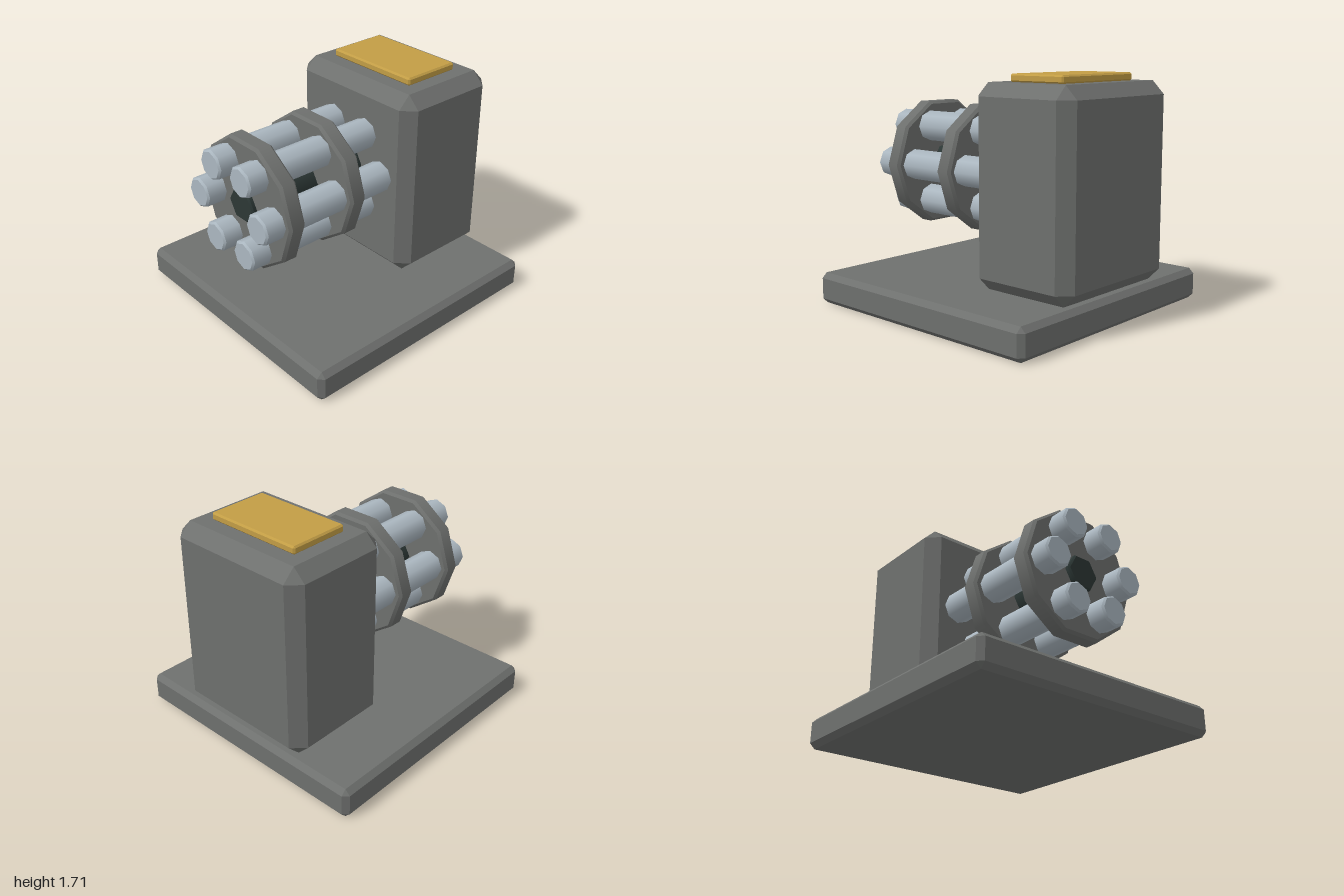
import * as THREE from 'three';
import { mergeGeometries } from 'three/addons/utils/BufferGeometryUtils.js';
import { ConvexGeometry } from 'three/addons/geometries/ConvexGeometry.js';

const paint = (name, color) => {
  const m = new THREE.MeshStandardMaterial({ color });
  m.name = name;
  return m;
};

// Box with chamfered edges and cut corners, given by its min and max corners
function chamferBox(min, max, bevel) {
  const half = max.map((v, i) => (v - min[i]) / 2);
  const points = [];
  for (const sx of [-1, 1]) for (const sy of [-1, 1]) for (const sz of [-1, 1])
    for (let axis = 0; axis < 3; axis++) {
      const p = [sx, sy, sz].map((s, i) => s * (half[i] - (i === axis ? 0 : bevel)));
      points.push(new THREE.Vector3(...p));
    }
  return new ConvexGeometry(points)
    .translate(...min.map((v, i) => (v + max[i]) / 2));
}

// Few-sided smooth rod along z with chamfered rims
function rod(radius, z0, z1, sides, bevel) {
  const band = (rTop, rBottom, height, y) =>
    new THREE.CylinderGeometry(rTop, rBottom, height, sides, 1, true, Math.PI / 2).translate(0, y, 0);
  const small = radius - bevel;
  const cap = (y, turn) => new THREE.CircleGeometry(small, sides).rotateX(turn).translate(0, y, 0);
  return mergeGeometries([
    band(radius, radius, z1 - z0 - 2 * bevel, (z0 + z1) / 2),
    band(small, radius, bevel, z1 - bevel / 2),
    band(radius, small, bevel, z0 + bevel / 2),
    cap(z1, -Math.PI / 2),
    cap(z0, Math.PI / 2),
  ]).rotateX(Math.PI / 2);
}

export function createModel() {
  const model = new THREE.Group();
  model.name = 'rotaryTurret';

  const grey = paint('gunmetal grey', 0x6e706e);
  const steel = paint('pale steel', 0xabb7c0);
  const gold = paint('gold', 0xc29d45);
  const dark = paint('dark green grey', 0x2c3735);

  const add = (name, geometry, material, x = 0, y = 0) => {
    const mesh = new THREE.Mesh(geometry, material);
    mesh.name = name;
    mesh.position.set(x, y, 0);
    model.add(mesh);
  };

  // Base slab, housing and top plate
  add('base', chamferBox([-1, 0, -1], [1, 0.23, 1], 0.038), grey);
  add('housing', chamferBox([-0.577, 0.23, -1], [0.577, 1.655, -0.155], 0.092), grey);
  add('topPlate', chamferBox([-0.385, 1.653, -0.805], [0.385, 1.711, -0.348], 0.012), gold);

  // Barrel cluster: spindle, two clamping discs, six barrels
  const axisY = 1.003;
  add('spindle', rod(0.134, -0.155, 0.845, 6, 0.012), dark, 0, axisY);
  add('rearDisc', rod(0.49, 0.137, 0.273, 10, 0.02), grey, 0, axisY);
  add('frontDisc', rod(0.49, 0.675, 0.809, 10, 0.02), grey, 0, axisY);
  const barrel = rod(0.114, -0.158, 0.963, 8, 0.014);
  for (let i = 0; i < 6; i++) {
    const a = i * Math.PI / 3;
    add(`barrel${i + 1}`, barrel, steel, 0.327 * Math.cos(a), axisY + 0.327 * Math.sin(a));
  }
  return model;
}
